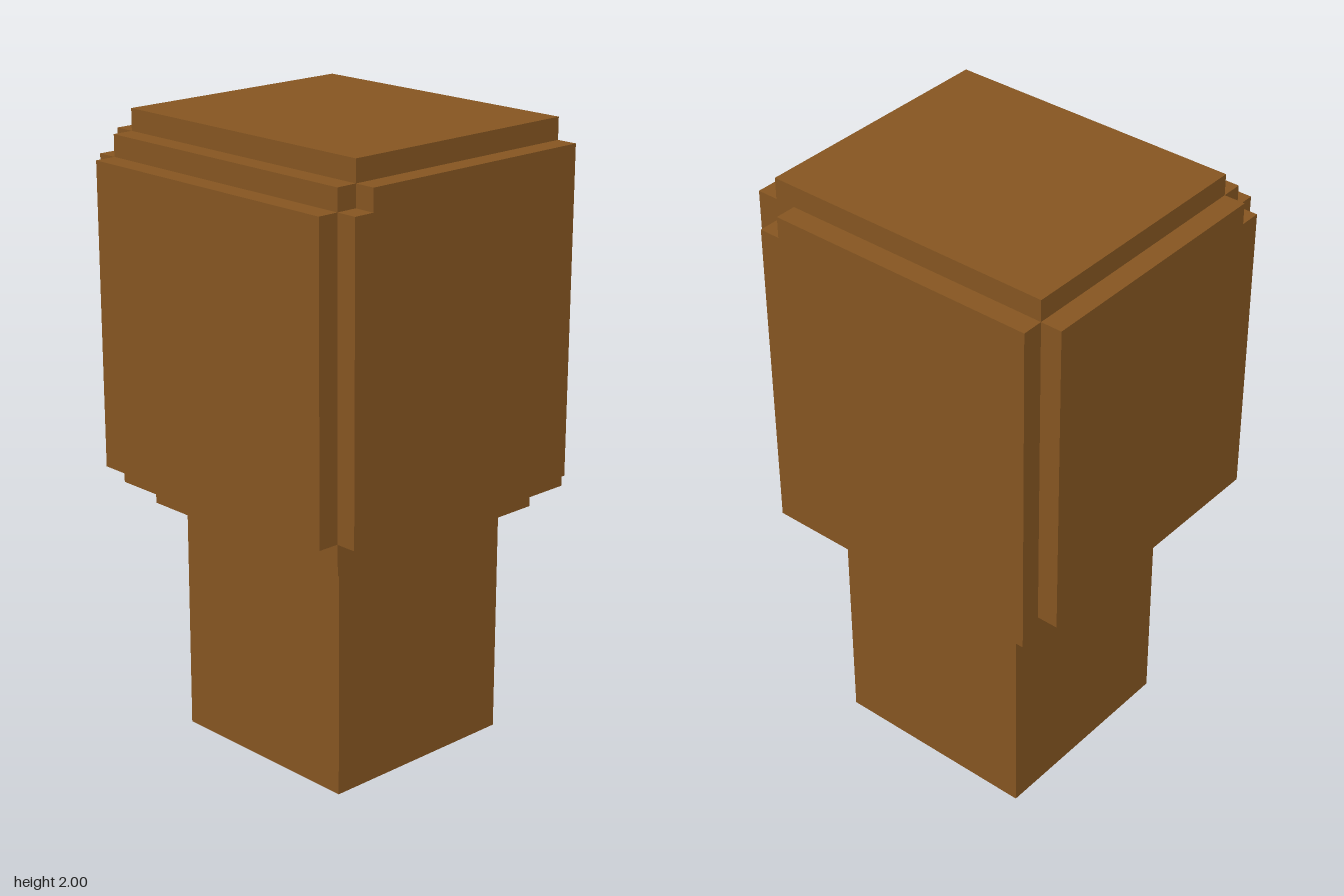
import * as THREE from 'three';

// One block is 1/29 of the full height.
const U = 2 / 29;

export function createModel() {
  const model = new THREE.Group();
  const wood = new THREE.MeshStandardMaterial({ color: 0x855521 });
  wood.name = 'brown wood';

  // Box from min and max corners, in block units
  function block(name, [x0, x1], [y0, y1], [z0, z1]) {
    const geometry = new THREE.BoxGeometry((x1 - x0) * U, (y1 - y0) * U, (z1 - z0) * U);
    const mesh = new THREE.Mesh(geometry, wood);
    mesh.name = name;
    mesh.position.set((x0 + x1) / 2 * U, (y0 + y1) / 2 * U, (z0 + z1) / 2 * U);
    model.add(mesh);
  }

  // Handle and the stepped underside of the head
  block('handle', [-5, 5], [0, 11], [-5.5, 4.5]);
  block('collar', [-6, 6], [11, 12], [-6.5, 5.5]);
  block('headBase', [-7, 7], [12, 13], [-7.5, 6.5]);

  // Head core and cap
  block('headCore', [-7, 7], [13, 28], [-6.5, 6.5]);
  block('headCap', [-7, 7], [28, 29], [-6.5, 5.5]);

  // Front and back panels, the back one notched at its upper left corner
  block('frontPanel', [-7, 7], [13, 27], [6.5, 7.5]);
  block('backPanel', [-7, 7], [13, 27], [-7.5, -6.5]);
  block('backPanelTop', [-7, 6], [27, 28], [-7.5, -6.5]);

  // Side panels, notched at the upper front corner
  for (const [side, x] of [['left', [7, 8]], ['right', [-8, -7]]]) {
    block(side + 'Panel', x, [13, 27], [-6.5, 6.5]);
    block(side + 'PanelTop', x, [27, 28], [-6.5, 5.5]);
  }
  return model;
}
